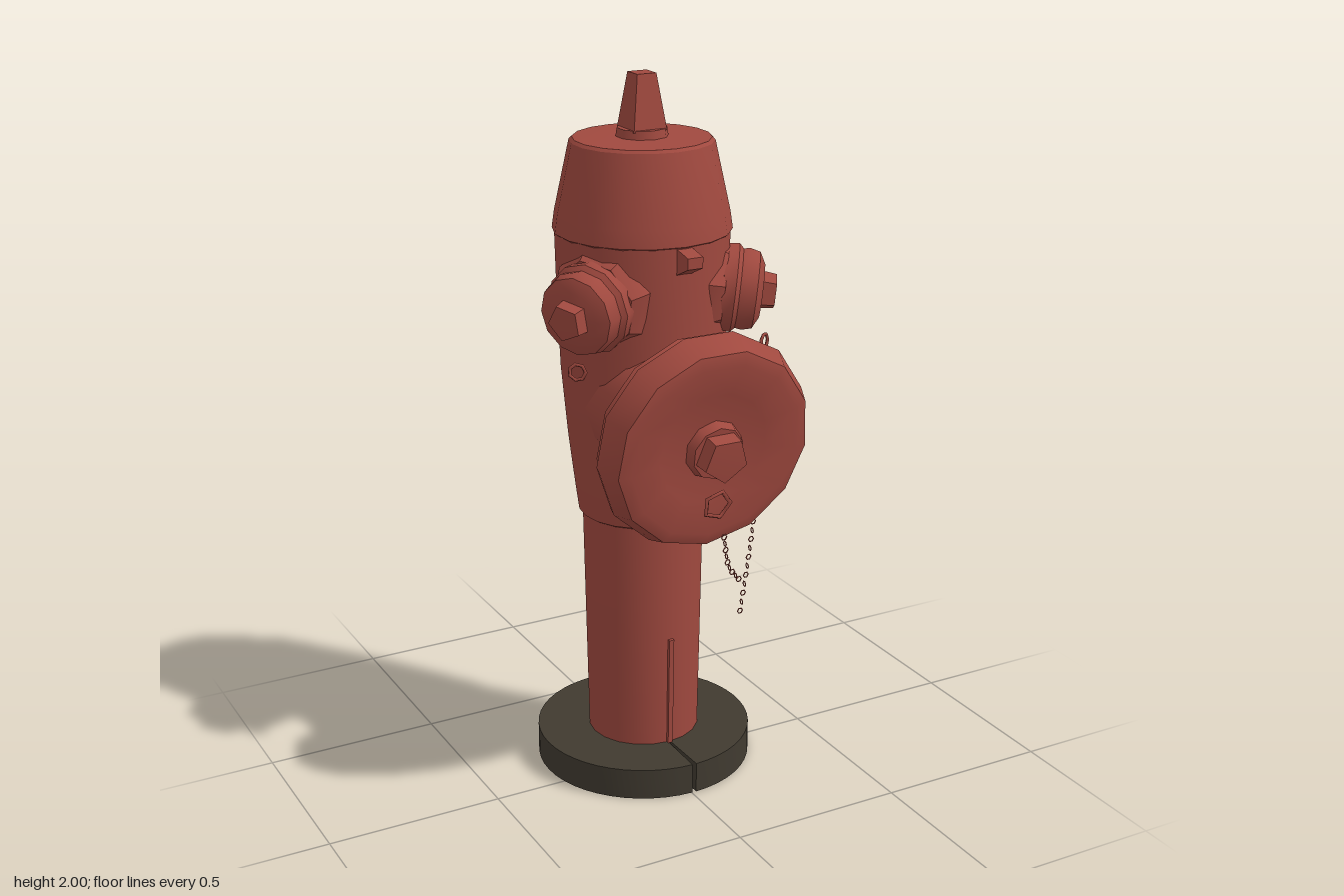
import * as THREE from 'three';
import { toCreasedNormals } from 'three/addons/utils/BufferGeometryUtils.js';

const red = new THREE.MeshStandardMaterial({ color: 0xa0493f });
red.name = 'hydrant red';
const dark = new THREE.MeshStandardMaterial({ color: 0x403a30 });
dark.name = 'dark base';

const AX = 0.008, AZ = -0.08; // barrel axis
const UP = new THREE.Vector3(0, 1, 0);

// Lathe from [radius, height] pairs, listed bottom to top
function lathe(points, segments, crease = 0.6) {
  const g = new THREE.LatheGeometry(points.map(([r, y]) => new THREE.Vector2(r, y)), segments);
  return toCreasedNormals(g, crease);
}

function add(parent, name, geometry, x = 0, y = 0, z = 0, material = red) {
  const mesh = new THREE.Mesh(geometry, material);
  mesh.name = name;
  mesh.position.set(x, y, z);
  parent.add(mesh);
  return mesh;
}

// Flat profile in (z, y), extruded along x about the barrel's middle plane
function fin(parent, name, points, width) {
  const shape = new THREE.Shape(points.map(([z, y]) => new THREE.Vector2(-z, y)));
  const g = new THREE.ExtrudeGeometry(shape, { depth: width, bevelEnabled: false });
  g.translate(0, 0, -width / 2);
  g.rotateY(Math.PI / 2);
  return add(parent, name, g, AX, 0, 0);
}

// Group whose local +y points along dir
function aimed(parent, name, position, dir) {
  const group = new THREE.Group();
  group.name = name;
  group.position.copy(position);
  group.quaternion.setFromUnitVectors(UP, dir.clone().normalize());
  parent.add(group);
  return group;
}

// Chain of small links alternating in direction along a curve
function chain(parent, name, points, count) {
  const group = new THREE.Group();
  group.name = name;
  const curve = new THREE.CatmullRomCurve3(points.map(p => new THREE.Vector3(...p)));
  const link = new THREE.TorusGeometry(0.008, 0.002, 3, 6);
  for (let i = 0; i <= count; i++) {
    const p = curve.getPointAt(i / count);
    const mesh = add(group, 'chainLink', link, p.x, p.y, p.z);
    mesh.rotation.y = i % 2 ? Math.PI / 2 : 0;
  }
  parent.add(group);
}

export function createModel() {
  const model = new THREE.Group();
  model.name = 'fireHydrant';

  // Base flange in two halves with a narrow gap front and back
  const gap = 0.02;
  const half = new THREE.Shape();
  half.absarc(0, 0, 0.31, -Math.PI / 2 + gap, Math.PI / 2 - gap, false);
  half.absarc(0, 0, 0.14, Math.PI / 2 - gap, -Math.PI / 2 + gap, true);
  const halfGeo = new THREE.ExtrudeGeometry(half, { depth: 0.09, bevelEnabled: false, curveSegments: 12 });
  halfGeo.rotateX(-Math.PI / 2);
  for (const turn of [0, Math.PI]) {
    add(model, 'baseFlange', toCreasedNormals(halfGeo, 0.6), AX, 0, AZ, dark).rotation.y = turn;
  }

  // Lower barrel, flared upper body and bonnet
  add(model, 'lowerBarrel', lathe([[0, 0.003], [0.157, 0.003], [0.16, 0.09], [0.172, 0.78]], 20), AX, 0, AZ);
  add(model, 'upperBody', lathe([[0.165, 0.765], [0.182, 0.775], [0.192, 0.85], [0.21, 1.0],
    [0.228, 1.2], [0.236, 1.4], [0.24, 1.585]], 20), AX, 0, AZ);
  add(model, 'bonnet', lathe([[0.235, 1.575], [0.245, 1.582], [0.238, 1.63], [0.196, 1.822],
    [0.188, 1.83], [0, 1.834]], 18, 0.5), AX, 0, AZ);

  // Operating nut
  add(model, 'nutCollar', new THREE.CylinderGeometry(0.068, 0.072, 0.025, 10), AX, 1.843, AZ);
  const nut = new THREE.CylinderGeometry(0.04, 0.07, 0.15, 4).toNonIndexed();
  nut.rotateY(Math.PI / 4);
  nut.computeVertexNormals();
  add(model, 'operatingNut', nut, AX, 1.925, AZ);

  // Front and back lugs and casting seams
  fin(model, 'frontLug', [[0.14, 1.58], [0.215, 1.565], [0.215, 1.535], [0.14, 1.5]], 0.045);
  fin(model, 'backLug', [[-0.3, 1.43], [-0.325, 1.43], [-0.37, 1.345], [-0.325, 1.27], [-0.3, 1.27]], 0.03);
  fin(model, 'backLowerLug', [[-0.23, 0.62], [-0.27, 0.6], [-0.255, 0.42], [-0.23, 0.4]], 0.025);
  fin(model, 'frontSeam', [[0.06, 0.09], [0.088, 0.09], [0.095, 0.42], [0.06, 0.42]], 0.015);
  fin(model, 'backSeam', [[-0.24, 0.78], [-0.268, 0.78], [-0.296, 1.0], [-0.314, 1.2],
    [-0.324, 1.57], [-0.28, 1.57]], 0.012);

  // Large pumper outlet, leaning down at the front
  const pumper = aimed(model, 'pumperOutlet', new THREE.Vector3(AX, 1.07, 0.33), new THREE.Vector3(0, -0.15, 1));
  add(pumper, 'pumperNeck', lathe([[0.215, -0.4], [0.205, -0.27], [0.2, -0.14]], 16));
  add(pumper, 'pumperCap', lathe([[0.19, -0.16], [0.25, -0.155], [0.285, -0.13], [0.28, -0.1],
    [0.305, -0.09], [0.31, -0.065], [0.285, -0.004], [0.25, 0.006], [0.16, -0.012], [0, -0.015]], 13, 0.9));
  add(pumper, 'pumperNutCollar', new THREE.CylinderGeometry(0.075, 0.085, 0.03, 10), 0, 0, 0);
  add(pumper, 'pumperNut', lathe([[0.07, 0], [0.065, 0.06], [0, 0.063]], 5, 0.3));
  const neckChain = add(pumper, 'neckChain', new THREE.TorusGeometry(0.208, 0.006, 4, 24), 0, -0.2, 0);
  neckChain.rotation.x = Math.PI / 2;
  const ring = add(model, 'capRing', new THREE.TorusGeometry(0.04, 0.007, 4, 5), AX + 0.015, 0.91, 0.315);
  ring.rotation.x = 0.15;

  // Two smaller hose outlets, mirrored
  for (const side of [1, -1]) {
    const outlet = aimed(model, side > 0 ? 'leftHoseOutlet' : 'rightHoseOutlet',
      new THREE.Vector3(AX - 0.008, 1.445, AZ), new THREE.Vector3(side * 0.86, -0.11, 0.5));
    add(outlet, 'hoseBoss', lathe([[0.155, 0.12], [0.15, 0.19], [0.125, 0.232], [0.08, 0.235]], 8));
    add(outlet, 'hoseCap', lathe([[0.09, 0.215], [0.122, 0.225], [0.125, 0.26], [0.112, 0.272],
      [0.115, 0.29], [0.108, 0.318], [0.075, 0.335], [0, 0.335]], 12, 0.7));
    add(outlet, 'hoseNut', lathe([[0.055, 0.33], [0.05, 0.372], [0, 0.374]], 5, 0.3));
    const hook = add(model, 'chainHook', new THREE.TorusGeometry(0.022, 0.005, 4, 7), side * 0.285, 1.27, 0.11);
    hook.rotation.y = side * 0.6;
  }

  // Hanging retaining chains
  chain(model, 'longChain', [[0.27, 0.9, 0.12], [0.24, 0.68, 0.13], [0.18, 0.51, 0.18]], 16);
  chain(model, 'shortChain', [[0.06, 0.8, 0.29], [0.1, 0.69, 0.25], [0.15, 0.63, 0.22]], 8);
  chain(model, 'leftCapChain', [[0.285, 1.25, 0.11], [0.25, 1.15, 0.14], [0.215, 1.02, 0.15]], 12);

  return model;
}
